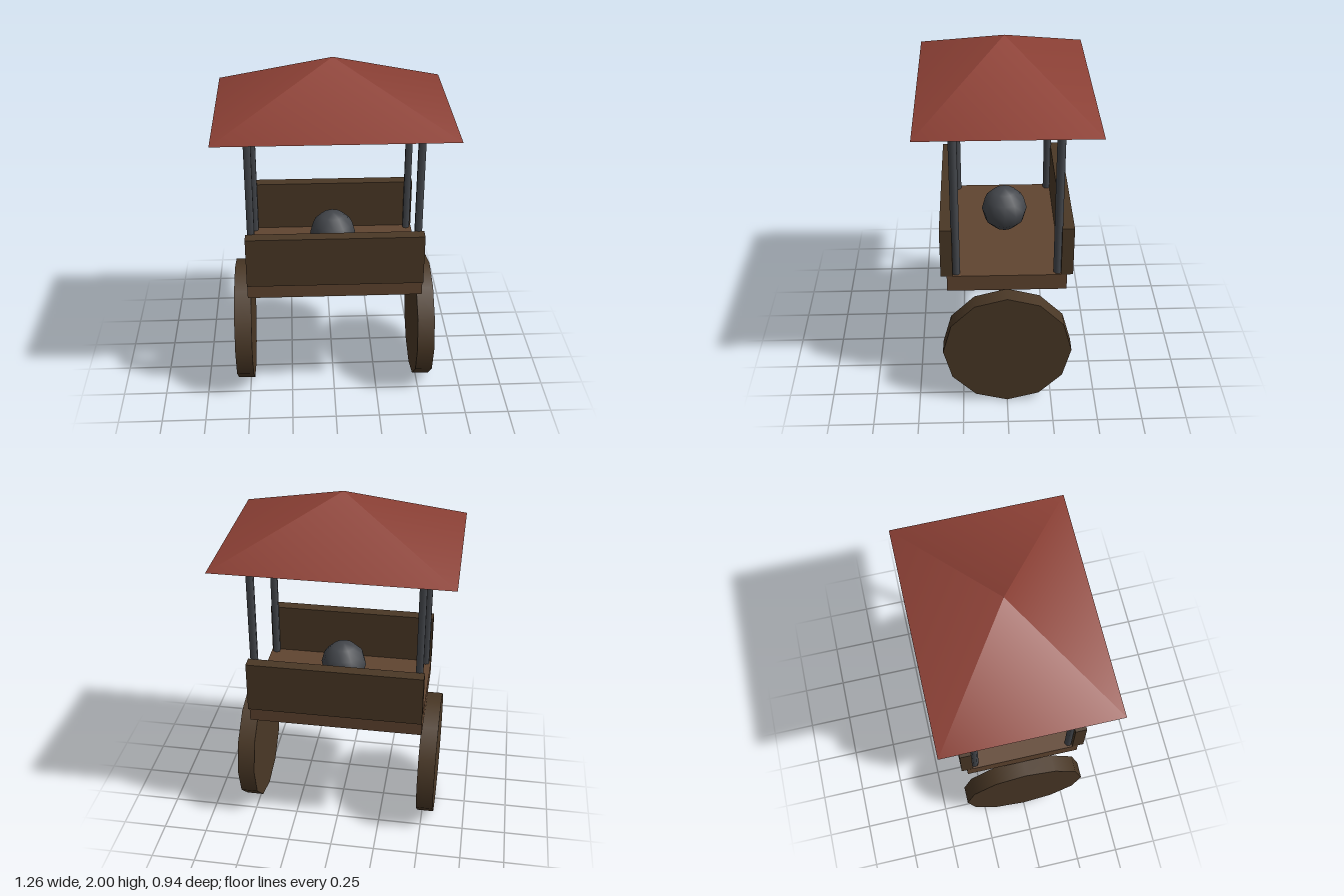
import * as THREE from 'three';

export function createModel() {
  const group = new THREE.Group();
  const paint = (color) => new THREE.MeshStandardMaterial({ color });
  const darkWood = paint(0x4a3826);
  const lightWood = paint(0x604530);
  const iron = paint(0x44474c);
  const red = paint(0x8c4035);

  const add = (name, geometry, material, x, y, z) => {
    const mesh = new THREE.Mesh(geometry, material);
    mesh.name = name;
    mesh.position.set(x, y, z);
    group.add(mesh);
  };

  // Cart floor
  add('floor', new THREE.BoxGeometry(0.97, 0.095, 0.65), lightWood, 0, 0.767, 0);

  // Front and back side boards
  const board = new THREE.BoxGeometry(0.97, 0.292, 0.065);
  add('frontBoard', board, darkWood, 0, 0.961, 0.325);
  add('backBoard', board, darkWood, 0, 0.961, -0.325);

  // Twelve-sided wheels with axles along x
  const wheel = new THREE.CylinderGeometry(0.357, 0.357, 0.097, 12).rotateZ(Math.PI / 2);
  add('leftWheel', wheel, darkWood, 0.522, 0.36, 0);
  add('rightWheel', wheel, darkWood, -0.522, 0.36, 0);

  // Four slim six-sided roof posts
  const post = new THREE.CylinderGeometry(0.0225, 0.0225, 0.9, 6);
  for (const sx of [1, -1]) {
    for (const sz of [1, -1]) {
      const name = (sz > 0 ? 'front' : 'back') + (sx > 0 ? 'Left' : 'Right') + 'Post';
      add(name, post, iron, sx * 0.455, 1.262, sz * 0.275);
    }
  }

  // Pyramid roof on a rectangular base
  const roof = new THREE.ConeGeometry(Math.SQRT2, 0.288, 4).rotateY(Math.PI / 4);
  roof.scale(0.632, 1, 0.47);
  add('roof', roof, red, 0, 1.856, 0);

  // Round load resting on the floor
  add('ball', new THREE.SphereGeometry(0.129, 12, 6), iron, 0, 0.946, 0);

  return group;
}
